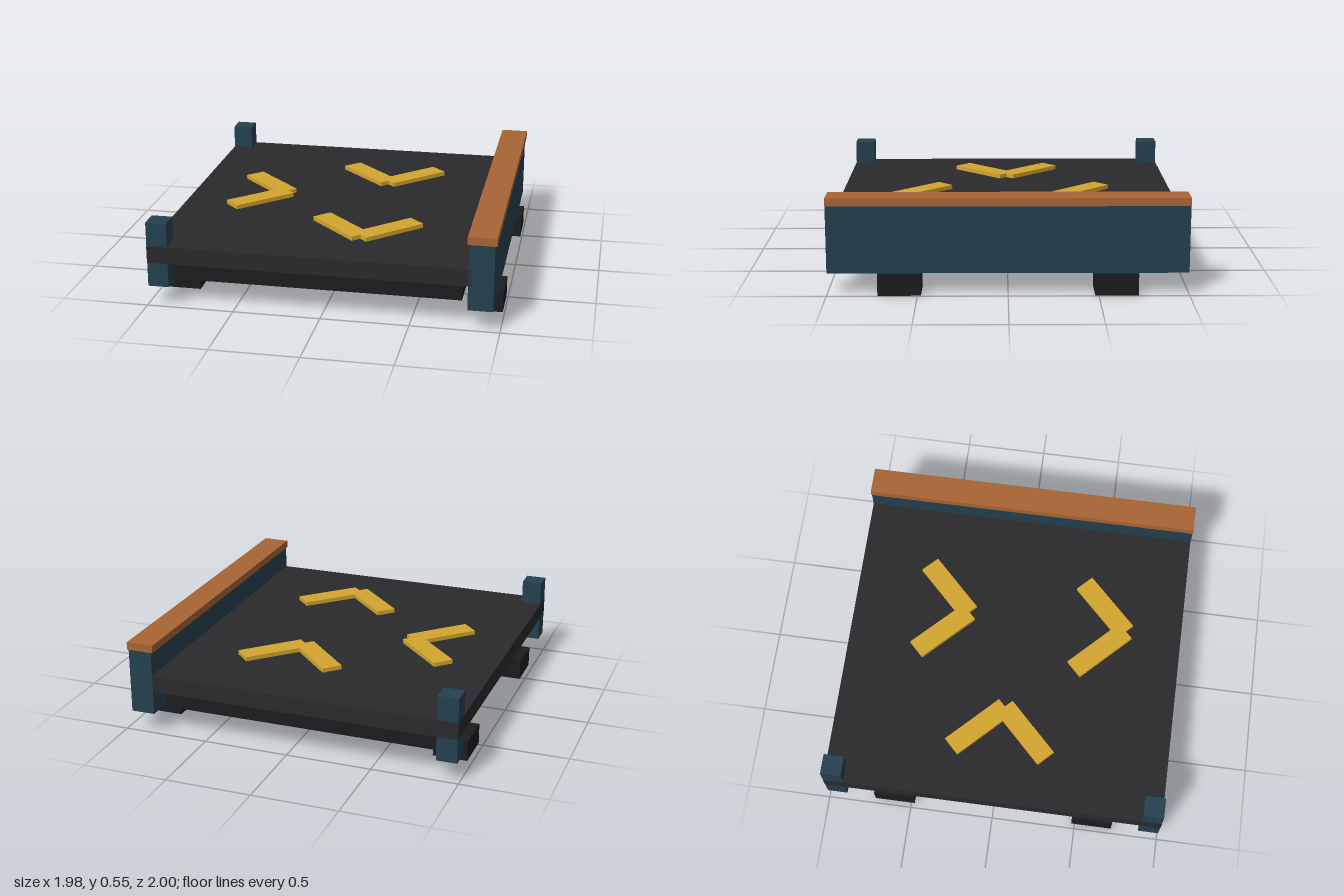
import * as THREE from 'three';

const paint = (color) => new THREE.MeshStandardMaterial({ color });

export function createModel() {
  const group = new THREE.Group();
  const deckMat = paint(0x2a2a2c);
  const darkMat = paint(0x1c1c1e);
  const blueMat = paint(0x24404f);
  const woodMat = paint(0xa86435);
  const goldMat = paint(0xd2a62e);

  // Box given by its extents on each axis
  const box = (name, mat, [x0, x1], [y0, y1], [z0, z1]) => {
    const mesh = new THREE.Mesh(new THREE.BoxGeometry(x1 - x0, y1 - y0, z1 - z0), mat);
    mesh.position.set((x0 + x1) / 2, (y0 + y1) / 2, (z0 + z1) / 2);
    mesh.name = name;
    group.add(mesh);
    return mesh;
  };

  // Platform and the recessed frame beneath it
  box('deck', deckMat, [-0.99, 0.84], [0.26, 0.36], [-1, 1]);
  box('underFrame', darkMat, [-0.91, 0.78], [0.14, 0.26], [-0.92, 0.92]);

  // Side rail with its cap
  box('sideRail', blueMat, [0.82, 0.96], [0.12, 0.5], [-1, 1]);
  box('railCap', woodMat, [0.81, 0.97], [0.5, 0.545], [-1, 1]);

  // Corner posts and feet, mirrored front to back
  for (const s of [-1, 1]) {
    const z = s * 0.939;
    box('cornerPost', blueMat, [-0.989, -0.87], [0.12, 0.5], [z - 0.06, z + 0.06]);
    for (const x of [-0.87, 0.89]) {
      box('foot', darkMat, [x - 0.1, x + 0.1], [0, 0.12], [s * 0.6 - 0.12, s * 0.6 + 0.12]);
    }
  }

  // Raised chevrons: two diagonal bars meeting at a tip that points along +z before turning
  const chevron = (x, z, turn) => {
    const mark = new THREE.Group();
    mark.name = 'chevron';
    for (const s of [-1, 1]) {
      const bar = new THREE.Mesh(new THREE.BoxGeometry(0.4, 0.025, 0.12), goldMat);
      bar.position.x = s * 0.14;
      bar.rotation.y = s * Math.PI / 4;
      bar.name = 'chevronBar';
      mark.add(bar);
    }
    mark.position.set(x, 0.3725, z);
    mark.rotation.y = turn;
    group.add(mark);
  };
  chevron(0.165, -0.44, 0);
  chevron(0.165, 0.52, 0);
  chevron(-0.55, 0, Math.PI / 2);

  return group;
}
